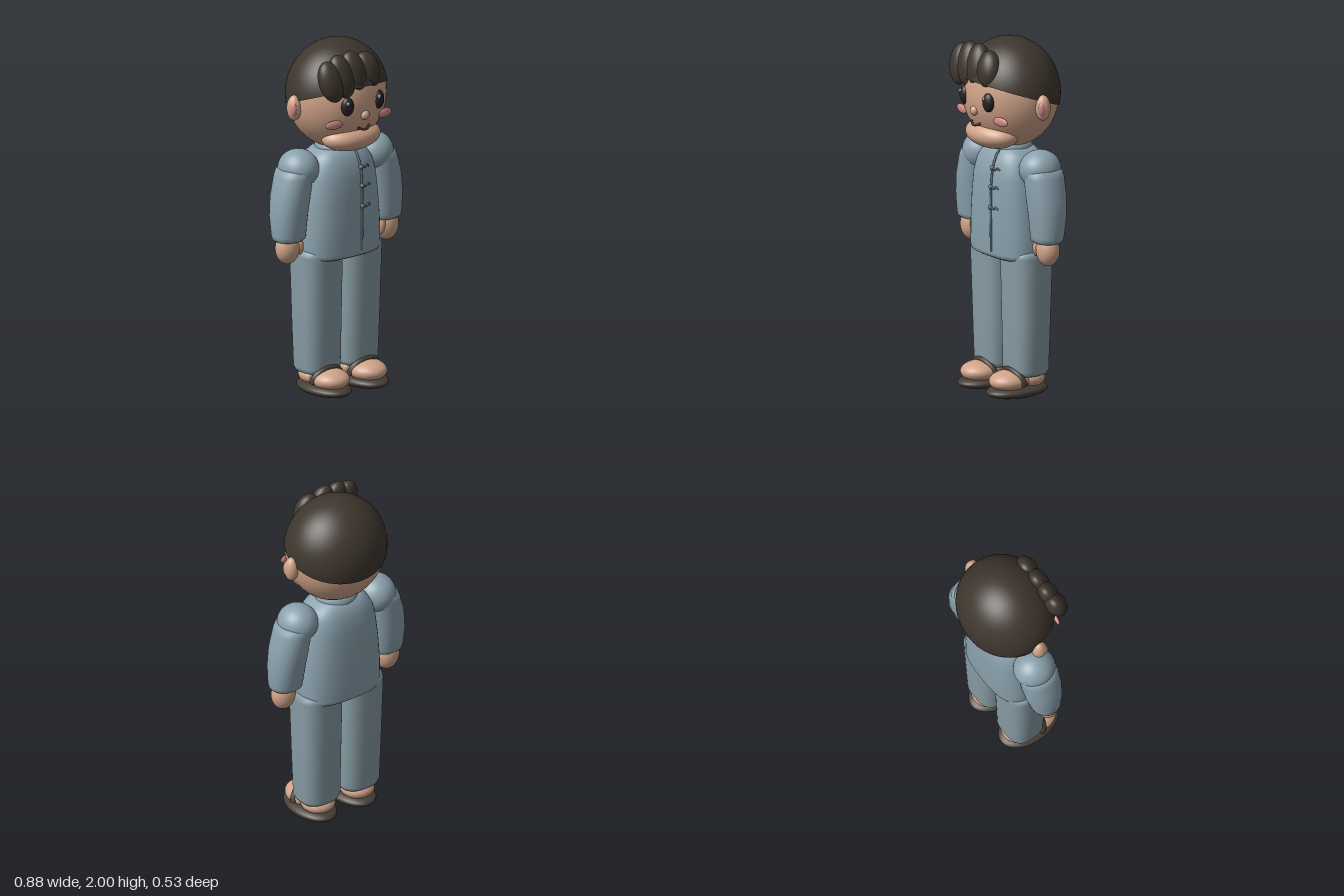
import * as THREE from 'three';

const mat = (name, color, side = THREE.FrontSide) => {
  const m = new THREE.MeshStandardMaterial({ color, side });
  m.name = name;
  return m;
};

export function createModel() {
  const model = new THREE.Group();
  model.name = 'standingFigure';

  const skin = mat('skin', 0xd0a389);
  const hair = mat('darkHair', 0x3e362d, THREE.DoubleSide);
  const cloth = mat('jacketBlue', 0x8aa1ad);
  const trouser = mat('trouserBlue', 0x879ba4);
  const trim = mat('trimBlue', 0x5d707b);
  const pink = mat('blushPink', 0xd08a85);
  const black = mat('eyeBlack', 0x26221f);
  const white = mat('eyeHighlight', 0xb9cbd6);
  const leather = mat('sandalBrown', 0x463e36);
  const lip = mat('mouthBrown', 0x4a2f28);

  const add = (name, geometry, material, parent = model) => {
    const mesh = new THREE.Mesh(geometry, material);
    mesh.name = name;
    parent.add(mesh);
    return mesh;
  };

  const ball = (name, p, r, material, rot = [0, 0, 0], parent = model) => {
    const mesh = add(name, new THREE.SphereGeometry(1, 40, 28), material, parent);
    mesh.position.set(...p);
    mesh.scale.set(...r);
    mesh.rotation.set(...rot);
    return mesh;
  };

  const tube = (name, pts, radius, material, parent = model) => {
    const curve = new THREE.CatmullRomCurve3(pts.map((p) => new THREE.Vector3(...p)));
    return add(name, new THREE.TubeGeometry(curve, 28, radius, 8), material, parent);
  };

  // Closed body from rounded-square rings [y, cx, cz, rx, rz], bottom to top
  const loft = (name, rings, power, material, parent = model) => {
    const first = rings[0], last = rings[rings.length - 1];
    const all = [
      [first[0], first[1], first[2], 0.001, 0.001], ...rings,
      [last[0], last[1], last[2], 0.001, 0.001],
    ];
    const n = 48, pos = [], idx = [];
    const soft = (v) => Math.sign(v) * Math.abs(v) ** (2 / power);
    all.forEach(([y, cx, cz, rx, rz], i) => {
      for (let j = 0; j < n; j++) {
        const t = (j / n) * Math.PI * 2;
        pos.push(cx + rx * soft(Math.cos(t)), y, cz + rz * soft(Math.sin(t)));
        if (i === all.length - 1) continue;
        const a = i * n + j, b = i * n + ((j + 1) % n);
        idx.push(a, a + n, b, b, a + n, b + n);
      }
    });
    const g = new THREE.BufferGeometry();
    g.setAttribute('position', new THREE.Float32BufferAttribute(pos, 3));
    g.setIndex(idx);
    g.computeVertexNormals();
    return add(name, g, material, parent);
  };

  // Head, jaw and nose
  const head = new THREE.Group();
  head.name = 'head';
  model.add(head);
  ball('skull', [0, 1.692, -0.005], [0.288, 0.302, 0.256], skin, [0, 0, 0], head);
  ball('jaw', [0, 1.475, 0.12], [0.185, 0.08, 0.122], skin, [0, 0, 0], head);
  ball('nose', [0, 1.62, 0.24], [0.027, 0.027, 0.025], skin, [0, 0, 0], head);
  tube('mouth', [[-0.042, 1.552, 0.228], [-0.02, 1.542, 0.24], [0, 1.539, 0.245],
    [0.02, 1.542, 0.24], [0.042, 1.552, 0.228]], 0.007, lip, head);

  // Hair cap, cut on a plane tilted back
  const cap = new THREE.SphereGeometry(1, 56, 28, 0, Math.PI * 2, 0, Math.PI / 2);
  cap.rotateX(-0.3);
  cap.scale(0.294, 0.306, 0.265);
  cap.translate(0, 1.694, -0.003);
  add('hairCap', cap, hair, head);

  // Swept forelock
  [[-0.195, 1.835, 0.118], [-0.12, 1.85, 0.126], [-0.035, 1.86, 0.122], [0.06, 1.855, 0.105]]
    .forEach(([x, y, ry], i) => {
      ball(`forelock${i + 1}`, [x, y, 0.187], [0.074, ry, 0.058], hair, [-0.22, 0, 0.2], head);
    });

  // Face features and ears
  for (const s of [-1, 1]) {
    const side = s > 0 ? 'left' : 'right';
    ball(`${side}Eye`, [s * 0.11, 1.685, 0.225], [0.037, 0.053, 0.028], black, [0, s * 0.3, 0], head);
    ball(`${side}EyeHighlight`, [s * 0.11 - 0.013, 1.708, 0.247], [0.009, 0.011, 0.006], white, [0, 0, 0], head);
    ball(`${side}Cheek`, [s * 0.178, 1.585, 0.194], [0.055, 0.025, 0.012], pink, [0, s * 0.15, 0], head);
    ball(`${side}Ear`, [s * 0.298, 1.66, -0.005], [0.04, 0.072, 0.042], skin, [0, 0, 0], head);
    ball(`${side}InnerEar`, [s * 0.318, 1.66, 0.014], [0.018, 0.042, 0.022], pink, [0, 0, 0], head);
  }

  // Jacket body and collar
  loft('jacket', [
    [0.78, 0, -0.005, 0.23, 0.145], [0.79, 0, -0.005, 0.247, 0.16], [0.81, 0, -0.005, 0.254, 0.165],
    [0.95, 0, -0.005, 0.25, 0.167], [1.1, 0, -0.005, 0.237, 0.167], [1.23, 0, -0.005, 0.22, 0.163],
    [1.31, 0, -0.008, 0.2, 0.152], [1.36, 0, -0.01, 0.17, 0.13], [1.385, 0, -0.01, 0.135, 0.11],
    [1.395, 0, -0.01, 0.11, 0.09],
  ], 2.7, cloth);
  loft('collar', [
    [1.35, 0, -0.01, 0.125, 0.115], [1.39, 0, -0.01, 0.122, 0.112],
    [1.41, 0, -0.01, 0.118, 0.108], [1.416, 0, -0.01, 0.11, 0.1],
  ], 2, cloth);

  // Front seam with knot buttons and loops
  tube('frontSeam', [[0.04, 1.39, 0.1], [0.042, 1.36, 0.121], [0.045, 1.3, 0.147], [0.045, 1.2, 0.16],
    [0.045, 1.05, 0.163], [0.045, 0.82, 0.16]], 0.007, trim);
  [[1.29, 0.153], [1.185, 0.163], [1.07, 0.166]].forEach(([y, z], i) => {
    ball(`knotButton${i + 1}`, [0.045, y, z], [0.013, 0.013, 0.013], trim);
    tube(`buttonLoop${i + 1}`, [[0.045, y + 0.006, z], [0.07, y - 0.006, z], [0.09, y + 0.006, z - 0.003],
      [0.104, y - 0.006, z - 0.008]], 0.005, trim);
  });

  for (const s of [-1, 1]) {
    const side = s > 0 ? 'left' : 'right';

    // Arm: puffed shoulder, sleeve, hand and thumb
    const arm = new THREE.Group();
    arm.name = `${side}Arm`;
    model.add(arm);
    ball('shoulder', [s * 0.262, 1.305, -0.012], [0.112, 0.108, 0.118], cloth, [0, 0, 0], arm);
    loft('sleeve', [
      [0.912, s * 0.337, -0.003, 0.08, 0.07], [0.922, s * 0.337, -0.003, 0.093, 0.082],
      [0.945, s * 0.338, -0.004, 0.097, 0.086], [1.05, s * 0.335, -0.008, 0.104, 0.1],
      [1.16, s * 0.321, -0.01, 0.107, 0.109], [1.27, s * 0.298, -0.012, 0.1, 0.112],
      [1.3, s * 0.292, -0.012, 0.094, 0.108], [1.318, s * 0.288, -0.012, 0.08, 0.09],
    ], 2.2, cloth, arm);
    ball('hand', [s * 0.349, 0.868, 0], [0.071, 0.09, 0.062], skin, [0, 0, 0], arm);
    ball('thumb', [s * 0.289, 0.88, 0.025], [0.025, 0.056, 0.028], skin, [0, 0, s * -0.1], arm);

    // Trouser leg
    loft(`${side}TrouserLeg`, [
      [0.122, s * 0.132, -0.01, 0.09, 0.085], [0.13, s * 0.132, -0.01, 0.11, 0.1],
      [0.155, s * 0.132, -0.01, 0.122, 0.11], [0.4, s * 0.135, -0.01, 0.128, 0.116],
      [0.8, s * 0.138, -0.01, 0.136, 0.127], [0.825, s * 0.138, -0.01, 0.13, 0.122],
      [0.837, s * 0.138, -0.01, 0.115, 0.107],
    ], 2.8, trouser);

    // Foot on a sandal with an arched strap
    const foot = new THREE.Group();
    foot.name = `${side}Foot`;
    model.add(foot);
    ball('sole', [s * 0.132, 0.042, 0.05], [0.12, 0.042, 0.19], leather, [0, 0, 0], foot);
    ball('toes', [s * 0.132, 0.1, 0.1], [0.105, 0.058, 0.118], skin, [0, 0, 0], foot);
    ball('heel', [s * 0.132, 0.1, -0.02], [0.095, 0.055, 0.1], skin, [0, 0, 0], foot);
    const strap = add('strap', new THREE.TorusGeometry(0.1, 0.015, 12, 32, Math.PI), leather, foot);
    strap.position.set(s * 0.132, 0.085, 0.07);
    strap.scale.set(1, 0.85, 1.3);
    strap.rotation.x = 0.3;
  }

  return model;
}
